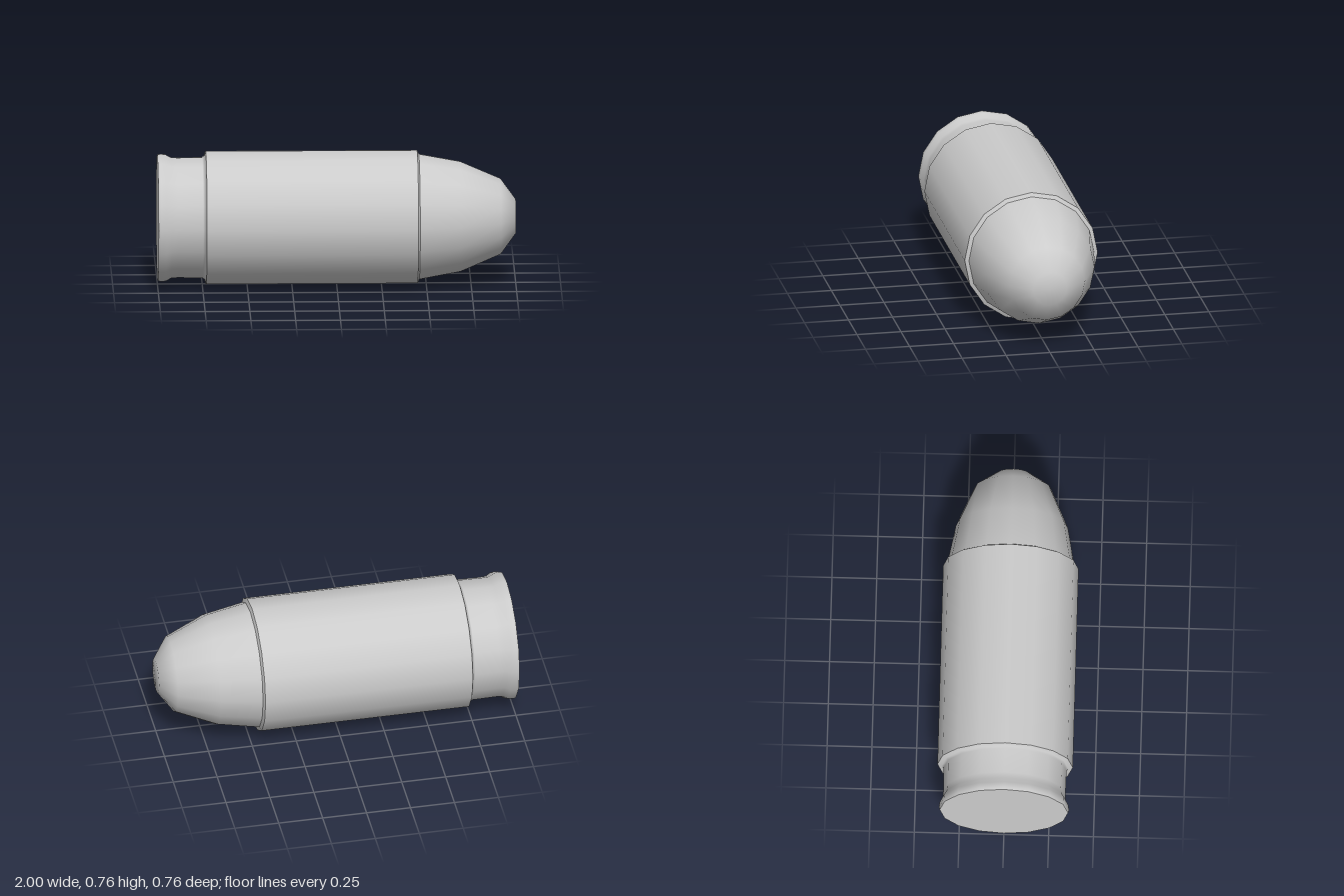
import * as THREE from 'three';

const RADIUS = 0.378;
const SIDES = 16;
const material = new THREE.MeshStandardMaterial({ color: 0xcccccc });

// Turns a profile of [x, radius] points, listed from base to nose, around the long axis.
function turned(name, profile) {
  const points = profile.map(([x, r]) => new THREE.Vector2(r, x));
  const geometry = new THREE.LatheGeometry(points, SIDES);
  geometry.rotateZ(-Math.PI / 2);
  const mesh = new THREE.Mesh(geometry, material);
  mesh.name = name;
  mesh.position.y = RADIUS;
  return mesh;
}

export function createModel() {
  const group = new THREE.Group();
  group.name = 'cartridge';

  group.add(
    // Flat base disc
    turned('baseCap', [[-1, 0], [-1, 0.358]]),
    // Rim lip, shallow groove and flare up to the casing
    turned('rim', [
      [-1, 0.358], [-0.985, 0.363], [-0.955, 0.36], [-0.925, 0.343],
      [-0.89, 0.341], [-0.75, 0.343], [-0.738, 0.353], [-0.73, RADIUS],
    ]),
    // Straight casing
    turned('casing', [[-0.73, RADIUS], [0.45, RADIUS]]),
    // Step from the casing mouth down to the nose
    turned('casingMouth', [[0.45, RADIUS], [0.46, 0.356]]),
    // Rounded nose with a small blunt tip
    turned('nose', [
      [0.46, 0.356], [0.69, 0.313], [0.915, 0.215], [1, 0.097], [1, 0],
    ]),
  );
  return group;
}
